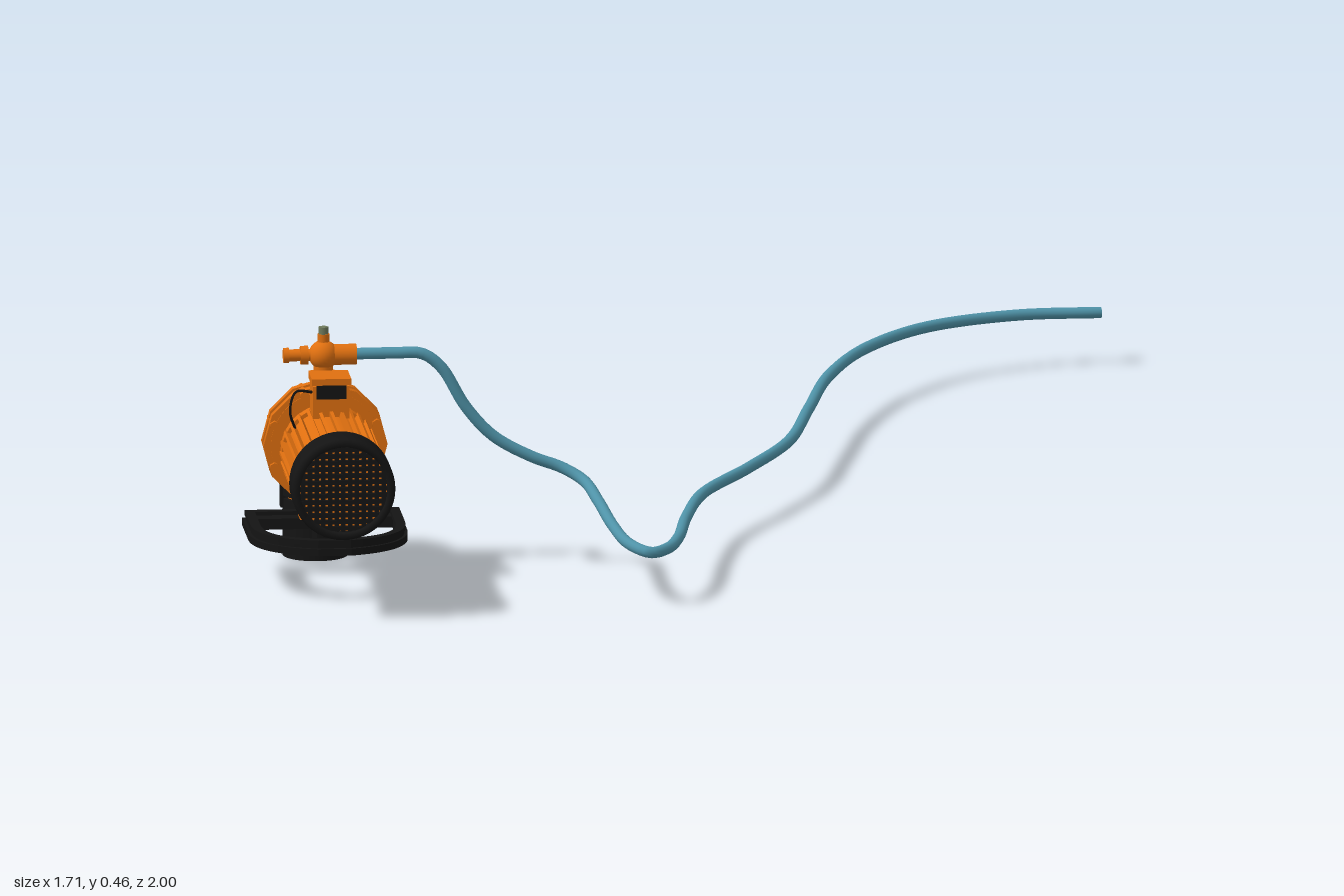
import * as THREE from 'three';
import { ParametricGeometry } from 'three/addons/geometries/ParametricGeometry.js';

const mat = (color, side = THREE.FrontSide) => new THREE.MeshStandardMaterial({ color, side });
const orange = mat(0xe07010), black = mat(0x141414), blue = mat(0x4f93a8, THREE.DoubleSide);
const grey = mat(0x6f7a5c), orange2 = mat(0xe07010, THREE.DoubleSide);
const CX = -0.71, CY = 0.25; // motor axis
const V = (x, y, z) => new THREE.Vector3(x, y, z);

export function createModel() {
  const root = new THREE.Group();
  const add = (name, geo, m, x = 0, y = 0, z = 0, parent = root) => {
    const mesh = new THREE.Mesh(geo, m);
    mesh.name = name;
    mesh.position.set(x, y, z);
    parent.add(mesh);
    return mesh;
  };
  const box = (name, m, w, h, d, x, y, z, parent) => add(name, new THREE.BoxGeometry(w, h, d), m, x, y, z, parent);
  // cylinder along z on the motor axis, from z0 to z1
  const cylZ = (name, m, r0, r1, z0, z1, x = CX, y = CY, seg = 40) =>
    add(name, new THREE.CylinderGeometry(r1, r0, z1 - z0, seg).rotateX(Math.PI / 2), m, x, y, (z0 + z1) / 2);
  const cylX = (name, r, x0, x1, y, z, m = orange) =>
    add(name, new THREE.CylinderGeometry(r, r, x1 - x0, 20).rotateZ(Math.PI / 2), m, (x0 + x1) / 2, y, z);
  const cylY = (name, m, r, y0, y1, x, z, seg = 32) =>
    add(name, new THREE.CylinderGeometry(r, r, y1 - y0, seg), m, x, (y0 + y1) / 2, z);
  const tube = (name, pts, r, m, n = 60, seg = 10) =>
    add(name, new THREE.TubeGeometry(new THREE.CatmullRomCurve3(pts, false, 'centripetal'), n, r, seg), m);

  // Motor with cooling fins
  cylZ('motorBody', orange, 0.079, 0.079, 0.67, 0.94);
  for (const z of [0.68, 0.925]) cylZ('motorEndRing', orange, 0.086, 0.086, z - 0.012, z + 0.012);
  const fins = new THREE.Group();
  fins.name = 'coolingFins';
  fins.position.set(CX, CY, 0.803);
  root.add(fins);
  for (let i = 0; i < 28; i++) {
    const a = (i / 28) * Math.PI * 2;
    box('fin', orange, 0.014, 0.006, 0.245, Math.cos(a) * 0.082, Math.sin(a) * 0.082, 0, fins).rotation.z = a;
  }

  // Fan cover: black sleeve with a gridded face
  const cover = new THREE.LatheGeometry([[0.08, 0.93], [0.094, 0.93], [0.094, 0.994], [0.09, 1.0], [0.08, 1.0], [0.08, 0.98]]
    .map(([r, z]) => new THREE.Vector2(r, z)), 48).rotateX(Math.PI / 2);
  add('fanCover', cover, mat(0x141414, THREE.DoubleSide), CX, CY, 0);
  cylZ('fanBackPlate', orange, 0.08, 0.08, 0.93, 0.982);
  for (let i = -6; i <= 6; i++) {
    const o = i * 0.0122, len = 2 * Math.sqrt(0.081 ** 2 - o * o);
    box('grilleBar', black, 0.0075, len, 0.008, CX + o, CY, 0.986);
    box('grilleBar', black, len, 0.0075, 0.008, CX, CY + o, 0.987);
  }

  // Terminal box on the motor, with its cable
  box('terminalBox', orange, 0.066, 0.06, 0.062, CX, 0.355, 0.712);
  box('terminalBoxLid', orange, 0.072, 0.012, 0.072, CX, 0.394, 0.712);
  box('terminalBoxFace', black, 0.054, 0.026, 0.004, CX, 0.375, 0.745);
  tube('cable', [V(-0.74, 0.37, 0.72), V(-0.775, 0.375, 0.74), V(-0.785, 0.34, 0.74), V(-0.775, 0.305, 0.73)], 0.0025, black, 24, 6);

  // Open lantern between motor and pump
  cylZ('shaftHousing', orange, 0.045, 0.045, 0.6, 0.69);
  for (let i = 0; i < 6; i++) {
    const a = (i + 0.5) * Math.PI / 3;
    box('lanternArm', orange, 0.02, 0.026, 0.09, CX + Math.cos(a) * 0.064, CY + Math.sin(a) * 0.064, 0.655).rotation.z = a;
  }

  // Pump casing with bolted flanges and volute
  cylZ('pumpCasing', orange, 0.1, 0.1, 0.55, 0.63);
  for (const z of [0.619, 0.585])
    cylZ('casingFlange', orange, 0.113, 0.113, z - 0.009, z + 0.009, CX, CY, 12);
  add('volute', new THREE.TorusGeometry(0.067, 0.036, 16, 48), orange, CX, CY, 0.558);
  cylZ('rearCover', orange, 0.05, 0.075, 0.525, 0.56);
  for (let i = 0; i < 8; i++) {
    const a = (i + 0.5) * Math.PI / 4;
    cylZ('flangeBolt', orange, 0.009, 0.009, 0.565, 0.637, CX + Math.cos(a) * 0.101, CY + Math.sin(a) * 0.101, 6);
  }
  box('footStem', orange, 0.05, 0.06, 0.03, CX, 0.14, 0.585);
  box('footPlate', orange, 0.09, 0.014, 0.055, CX, 0.115, 0.585);

  // Discharge elbow, oval at the pump and round at the outlet
  const elbow = new ParametricGeometry((u, v, out) => {
    const t = u * Math.PI / 2, a = v * Math.PI * 2;
    const rx = 0.035 + 0.017 * u, r = 0.053;
    const R = 0.138 + Math.cos(a) * r;
    out.set(CX + Math.sin(a) * rx, 0.13 + Math.cos(t) * R, 0.558 - Math.sin(t) * R);
  }, 28, 28);
  add('dischargeElbow', elbow, orange2);
  cylY('elbowCollar', orange, 0.057, 0.128, 0.145, CX, 0.42);
  cylY('outletPipe', orange, 0.052, 0.1, 0.135, CX, 0.42);
  cylY('outletSleeve', black, 0.06, 0, 0.108, CX, 0.42);
  cylY('sleeveClamp', black, 0.0605, 0.113, 0.126, CX, 0.42);
  for (const s of [-1, 1]) {
    box('clampLever', black, 0.012, 0.05, 0.02, CX + s * 0.058, 0.115, 0.42);
    cylX('clampPivot', 0.008, CX + s * 0.058 - 0.007, CX + s * 0.058 + 0.007, 0.135, 0.42, black);
  }

  // Skid frame: D-shaped rail made of two stacked strips
  const rail = (w, o) => {
    const s = new THREE.Shape();
    const outline = (p, d) => {
      const hw = 0.145 - d, back = 0.545 + d;
      p.moveTo(-hw, back);
      p.lineTo(hw, back);
      p.lineTo(hw, 0.67);
      p.bezierCurveTo(hw, 0.76 - d * 0.5, 0.09, 0.8 - d, 0.03, 0.815 - d);
      p.lineTo(-0.03, 0.815 - d);
      p.bezierCurveTo(-0.09, 0.8 - d, -hw, 0.76 - d * 0.5, -hw, 0.67);
      p.closePath();
    };
    outline(s, o);
    const hole = new THREE.Path();
    outline(hole, o + w);
    s.holes.push(hole);
    return s;
  };
  const strip = (y, h, w, o) => add('skidRail', new THREE.ExtrudeGeometry(rail(w, o),
    { depth: h, bevelEnabled: false, curveSegments: 16 }).rotateX(Math.PI / 2), black, CX, y + h, 0);
  strip(0.086, 0.013, 0.02, 0);
  strip(0.099, 0.007, 0.008, 0.006);
  strip(0.106, 0.008, 0.018, 0.004);
  box('skidCrossBar', black, 0.26, 0.02, 0.03, CX, 0.098, 0.585);
  for (const s of [-1, 1]) {
    const strut = box('skidStrut', black, 0.008, 0.07, 0.008, CX + s * 0.035, 0.138, 0.785);
    strut.rotation.x = -0.3;
  }

  // Priming valve on top of the casing
  const vz = 0.583, vy = 0.408;
  cylY('valveStem', orange, 0.018, 0.34, vy, CX, vz, 20);
  cylY('valveBase', orange, 0.028, 0.362, 0.376, CX, vz, 6);
  add('valveBody', new THREE.SphereGeometry(0.027, 24, 16), orange, CX, vy, vz);
  cylX('valvePipe', 0.011, -0.775, -0.65, vy, vz);
  cylX('valveOutlet', 0.019, -0.695, -0.65, vy, vz);
  cylX('valveEndKnob', 0.014, -0.783, -0.773, vy, vz);
  cylX('valveCollar', 0.017, -0.752, -0.738, vy, vz);
  cylY('valveSpindle', orange, 0.011, 0.42, 0.447, CX, vz, 16);
  cylY('valveCap', grey, 0.009, 0.445, 0.46, CX, vz, 12);

  // Long hose trailing along the ground
  tube('hose', [
    V(-0.66, vy, 0.58), V(-0.58, vy, 0.58), V(-0.53, 0.406, 0.58), V(-0.495, 0.38, 0.58), V(-0.45, 0.305, 0.58),
    V(-0.4, 0.25, 0.58), V(-0.33, 0.21, 0.58), V(-0.275, 0.189, 0.582), V(-0.238, 0.17, 0.607), V(-0.218, 0.148, 0.68),
    V(-0.2, 0.124, 0.78), V(-0.178, 0.108, 0.86), V(-0.143, 0.1, 0.9), V(-0.108, 0.098, 0.86), V(-0.08, 0.097, 0.77),
    V(-0.05, 0.096, 0.6), V(0, 0.095, 0.4), V(0.1, 0.094, 0.2), V(0.19, 0.095, 0), V(0.25, 0.098, -0.25),
    V(0.31, 0.102, -0.5), V(0.4, 0.104, -0.715), V(0.53, 0.103, -0.88), V(0.7, 0.1, -0.97), V(0.85, 0.097, -0.99),
  ], 0.0105, blue, 260, 14);
  return root;
}
